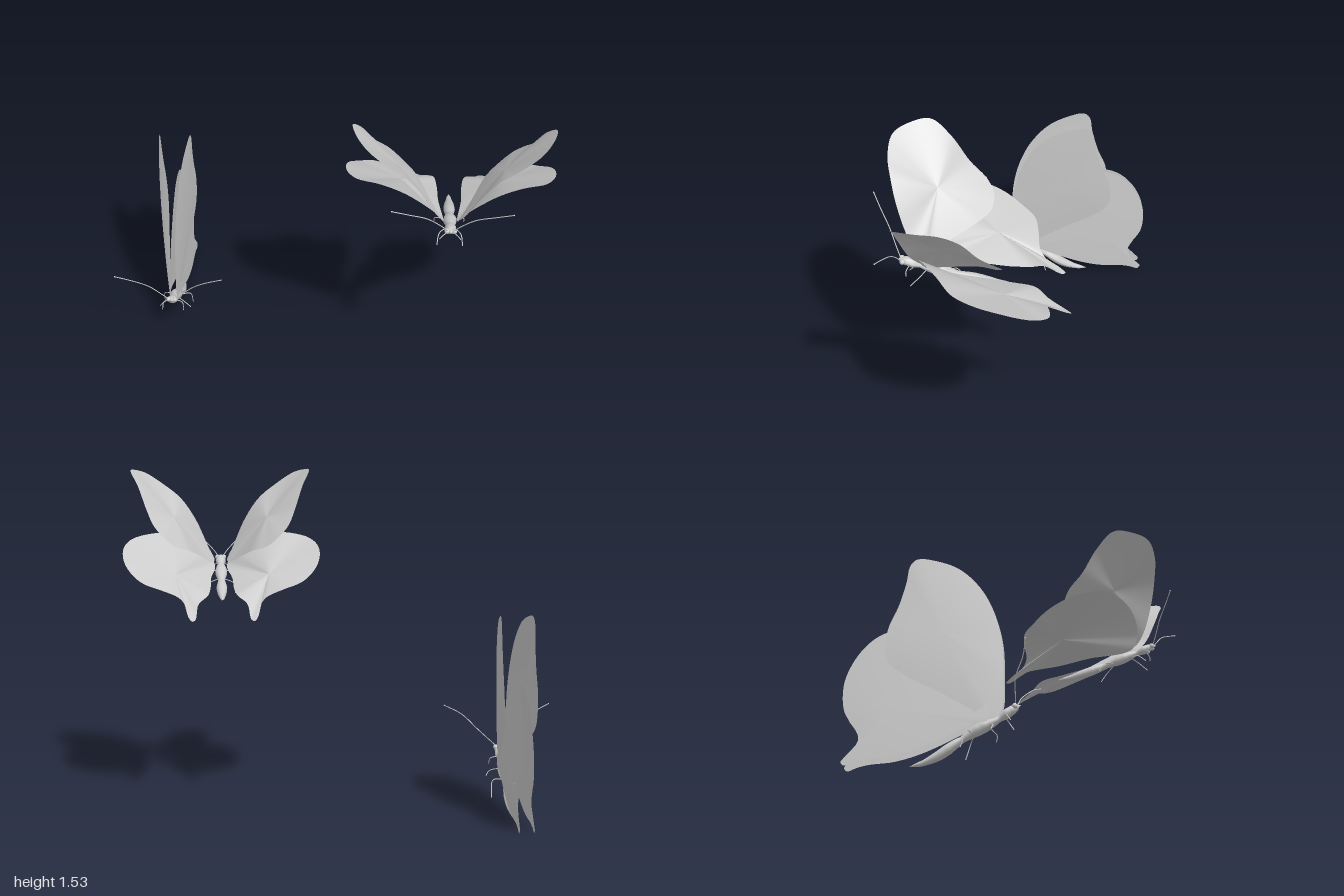
import * as THREE from 'three';

const material = new THREE.MeshStandardMaterial({ color: 0xcccccc, side: THREE.DoubleSide });
const curveOf = (pts, side = 1, closed = false) => new THREE.CatmullRomCurve3(
  pts.map(([x, y, z]) => new THREE.Vector3(x * side, y, z)), closed, 'centripetal');

function add(parent, name, geometry) {
  const mesh = new THREE.Mesh(geometry, material);
  mesh.name = name;
  parent.add(mesh);
  return mesh;
}

// Thin sheet: rings shrinking from a closed outline towards its middle, slightly domed
function wingGeometry(outline, side, dome) {
  const n = 96, rings = 8, pos = [], index = [];
  const edge = curveOf(outline, side, true).getPoints(n).slice(0, n);
  const hub = new THREE.Vector3(), normal = new THREE.Vector3(), c = new THREE.Vector3();
  edge.forEach((p) => hub.addScaledVector(p, 1 / n));
  edge.forEach((p, i) => {
    const q = edge[(i + 1) % n];
    normal.add(c.crossVectors(p.clone().sub(hub), q.clone().sub(hub)));
  });
  normal.normalize();
  if (normal.x * side < 0) normal.negate();
  for (let r = 0; r <= rings; r++) {
    const t = 1 - r / rings;
    for (const p of edge) {
      const v = hub.clone().lerp(p, t).addScaledVector(normal, dome * (1 - t * t));
      pos.push(v.x, v.y, v.z);
    }
  }
  for (let r = 0; r < rings; r++) for (let i = 0; i < n; i++) {
    const a = r * n + i, b = r * n + (i + 1) % n;
    index.push(a, b, a + n);
    if (r < rings - 1) index.push(b, b + n, a + n);
  }
  const g = new THREE.BufferGeometry();
  g.setAttribute('position', new THREE.Float32BufferAttribute(pos, 3));
  g.setIndex(index);
  g.computeVertexNormals();
  return g;
}

// Head, thorax and abdomen as one tube with a varying radius
const bodyRadii = [0, 0.018, 0.021, 0.013, 0.02, 0.025, 0.024, 0.018, 0.014, 0.019, 0.022, 0.021, 0.018, 0.013, 0.009, 0];
function bodyGeometry(path) {
  const curve = curveOf(path), segments = 60, sides = 14;
  const g = new THREE.TubeGeometry(curve, segments, 1, sides);
  const p = g.attributes.position, v = new THREE.Vector3();
  for (let i = 0; i < p.count; i++) {
    const u = Math.floor(i / (sides + 1)) / segments;
    const k = u * (bodyRadii.length - 1), a = Math.min(Math.floor(k), bodyRadii.length - 2);
    const r = THREE.MathUtils.lerp(bodyRadii[a], bodyRadii[a + 1], k - a);
    const c = curve.getPointAt(u);
    v.fromBufferAttribute(p, i).sub(c).multiplyScalar(r).add(c);
    p.setXYZ(i, c.x + (v.x - c.x) * 1.15, v.y, v.z);
  }
  g.computeVertexNormals();
  return g;
}

function butterfly(name, x, d) {
  const group = new THREE.Group();
  group.name = name;
  group.position.x = x;
  add(group, 'body', bodyGeometry(d.body));
  for (const side of [1, -1]) {
    const label = side > 0 ? 'left' : 'right';
    add(group, label + 'Forewing', wingGeometry(d.forewing, side, d.dome));
    add(group, label + 'Hindwing', wingGeometry(d.hindwing, side, d.dome * 0.5));
    add(group, label + 'Antenna', new THREE.TubeGeometry(curveOf(d.antenna, side), 24, 0.0022, 6));
    const tip = add(group, label + 'AntennaTip', new THREE.SphereGeometry(0.0035, 8, 6));
    const [tx, ty, tz] = d.antenna[d.antenna.length - 1];
    tip.position.set(tx * side, ty, tz);
    const eye = add(group, label + 'Eye', new THREE.SphereGeometry(0.012, 14, 10));
    eye.position.set(0.015 * side, d.head[0], d.head[1]);
    d.legs.forEach((leg, i) => add(group, `${label}Leg${i + 1}`,
      new THREE.TubeGeometry(curveOf(leg, side), 12, 0.0022, 6)));
  }
  return group;
}

// Folded wings: side outlines as [z, y], with the sideways spread from a rule
const foldedForewing = [
  [-0.04, 0.19], [0, 0.24], [0.005, 0.4], [0, 0.53], [-0.03, 0.66], [-0.09, 0.78], [-0.18, 0.87],
  [-0.28, 0.91], [-0.355, 0.918], [-0.385, 0.89], [-0.4, 0.81], [-0.43, 0.7], [-0.47, 0.6],
  [-0.48, 0.5], [-0.46, 0.44], [-0.4, 0.39], [-0.27, 0.32], [-0.15, 0.25],
].map(([z, y]) => [0.015 + 0.1 * Math.abs(z) + 0.03 * (y - 0.2), y, z]);
const foldedHindwing = [
  [-0.05, 0.19], [-0.1, 0.34], [-0.22, 0.51], [-0.35, 0.61], [-0.45, 0.62], [-0.53, 0.59], [-0.6, 0.52],
  [-0.65, 0.42], [-0.662, 0.34], [-0.65, 0.25], [-0.61, 0.185], [-0.587, 0.13], [-0.61, 0.08],
  [-0.655, 0.03], [-0.642, 0.014], [-0.6, 0.028], [-0.55, 0.038], [-0.45, 0.045], [-0.35, 0.07],
  [-0.25, 0.11], [-0.12, 0.17],
].map(([z, y]) => [0.012 + 0.033 * (0.65 - y), y, z]);

const resting = {
  dome: 0.006,
  head: [0.246, 0.052],
  body: [[0, 0.255, 0.075], [0, 0.235, 0.04], [0, 0.195, -0.02], [0, 0.16, -0.09], [0, 0.105, -0.18], [0, 0.05, -0.26], [0, 0.022, -0.32], [0, 0.007, -0.38]],
  forewing: foldedForewing,
  hindwing: foldedHindwing,
  antenna: [[0.012, 0.25, 0.055], [0.04, 0.275, 0.058], [0.1, 0.33, 0.065], [0.17, 0.395, 0.105], [0.25, 0.435, 0.125]],
  legs: [
    [[0.01, 0.21, 0.01], [0.045, 0.2, 0.02], [0.05, 0.17, 0.04]],
    [[0.01, 0.17, -0.06], [0.06, 0.15, -0.03], [0.075, 0.128, -0.035]],
    [[0.01, 0.13, -0.12], [0.06, 0.13, -0.135], [0.07, 0.055, -0.16]],
  ],
};

// Spread wings: outlines as [x, y, z]
const flying = {
  dome: -0.012,
  head: [1.104, 0.558],
  body: [[0, 1.11, 0.58], [0, 1.098, 0.54], [0, 1.07, 0.47], [0, 1.04, 0.39], [0, 1.005, 0.3], [0, 0.975, 0.21], [0, 0.957, 0.14], [0, 0.95, 0.09]],
  forewing: [
    [0.03, 1.1, 0.48], [0.06, 1.16, 0.525], [0.12, 1.29, 0.57], [0.19, 1.39, 0.592], [0.27, 1.455, 0.6],
    [0.35, 1.51, 0.575], [0.4, 1.53, 0.5], [0.422, 1.53, 0.41], [0.385, 1.46, 0.325], [0.345, 1.355, 0.25],
    [0.31, 1.285, 0.18], [0.265, 1.235, 0.153], [0.21, 1.19, 0.17], [0.15, 1.165, 0.24], [0.09, 1.125, 0.36],
    [0.04, 1.09, 0.45],
  ],
  hindwing: [
    [0.03, 1.08, 0.46], [0.06, 1.14, 0.49], [0.12, 1.19, 0.49], [0.2, 1.225, 0.465], [0.3, 1.235, 0.42],
    [0.4, 1.22, 0.365], [0.445, 1.195, 0.28], [0.456, 1.16, 0.18], [0.44, 1.115, 0.09], [0.4, 1.07, 0.02],
    [0.35, 1.04, -0.03], [0.28, 1.015, -0.04], [0.2, 0.98, -0.04], [0.172, 0.95, -0.06], [0.158, 0.905, -0.12],
    [0.14, 0.885, -0.147], [0.125, 0.89, -0.13], [0.11, 0.95, -0.05], [0.07, 0.98, 0], [0.055, 1.0, 0.1],
    [0.05, 1.035, 0.25],
  ],
  antenna: [[0.012, 1.11, 0.565], [0.04, 1.145, 0.58], [0.1, 1.2, 0.605], [0.18, 1.245, 0.64], [0.25, 1.28, 0.667]],
  legs: [
    [[0.01, 1.08, 0.53], [0.035, 1.065, 0.545], [0.045, 1.05, 0.545]],
    [[0.01, 1.05, 0.46], [0.045, 1.04, 0.49], [0.055, 1.005, 0.53]],
    [[0.01, 1.02, 0.37], [0.06, 1.0, 0.33], [0.065, 0.96, 0.3]],
  ],
};

export function createModel() {
  const model = new THREE.Group();
  model.name = 'butterflies';
  model.add(butterfly('restingButterfly', -0.75, resting));
  model.add(butterfly('flyingButterfly', 0.54, flying));
  return model;
}
